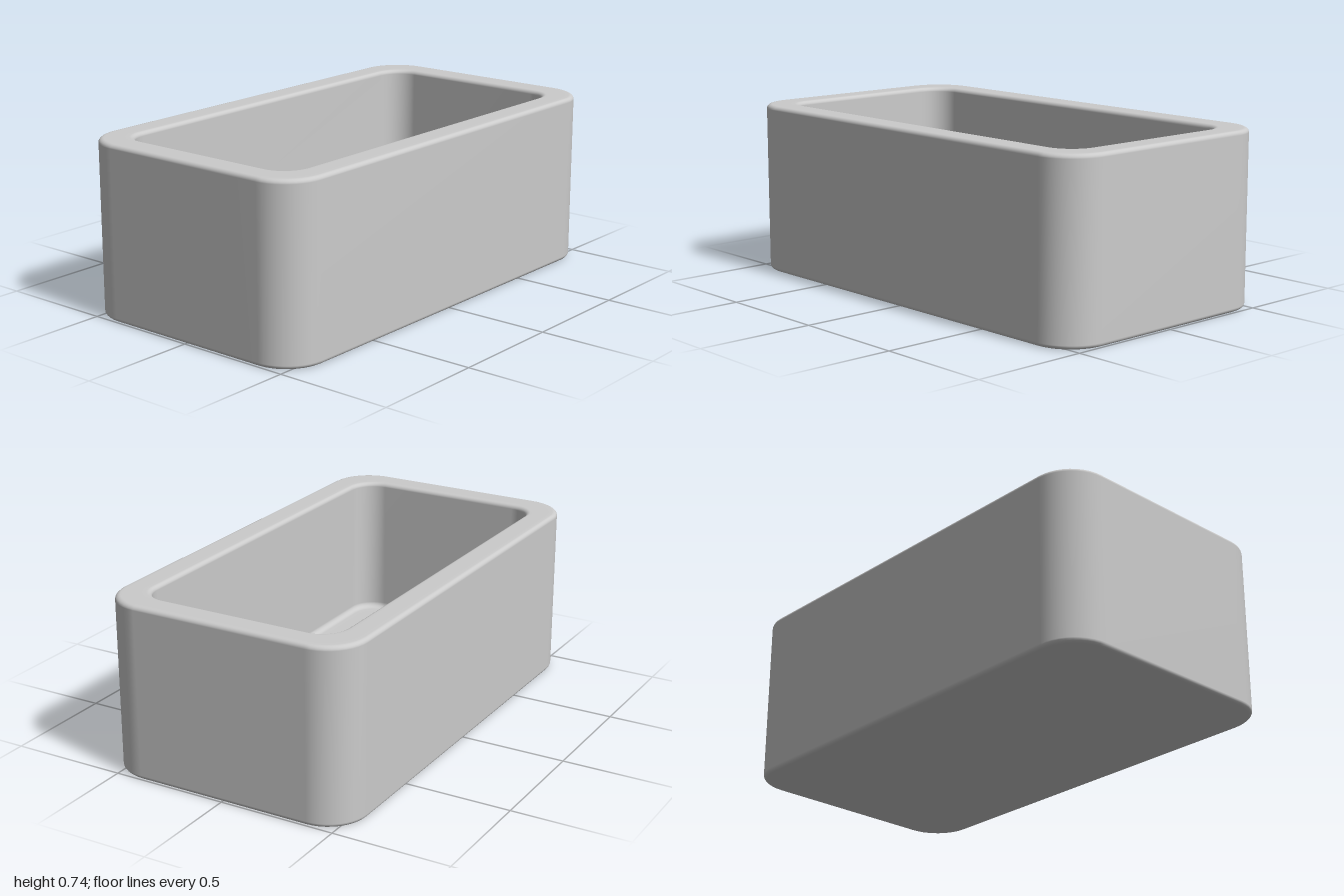
import * as THREE from 'three';

const HALF_X = 1, HALF_Z = 0.555, HEIGHT = 0.74, FLOOR = 0.12, WALL = 0.12;
const CORNER_STEPS = 10;

// Rounded rectangle at a given inset from the outer wall
function ring(inset, y) {
  const r = 0.17 - 0.5 * inset, points = [];
  const cx = HALF_X - inset - r, cz = HALF_Z - inset - r;
  [[1, 1], [-1, 1], [-1, -1], [1, -1]].forEach(([sx, sz], q) => {
    for (let i = 0; i <= CORNER_STEPS; i++) {
      const a = (q + i / CORNER_STEPS) * Math.PI / 2;
      points.push([sx * cx + r * Math.cos(a), y, sz * cz + r * Math.sin(a)]);
    }
  });
  return points;
}

// Quarter-round edge in the (inset, y) profile
function fillet(inset, y, radius, from, to, steps = 5) {
  return Array.from({ length: steps + 1 }, (_, i) => {
    const a = from + (to - from) * i / steps;
    return [inset + radius * Math.cos(a), y + radius * Math.sin(a)];
  });
}

// Skin the rings and close both ends with a fan
function loft(profile) {
  const rings = profile.map(([inset, y]) => ring(inset, y));
  const n = rings[0].length, last = rings.length - 1;
  const positions = rings.flat(), index = [];
  for (let k = 0; k < last; k++) {
    for (let i = 0; i < n; i++) {
      const a = k * n + i, b = k * n + (i + 1) % n;
      index.push(a, a + n, b, b, a + n, b + n);
    }
  }
  const bottom = positions.push([0, profile[0][1], 0]) - 1;
  const top = positions.push([0, profile[last][1], 0]) - 1;
  for (let i = 0; i < n; i++) {
    const j = (i + 1) % n;
    index.push(bottom, i, j, last * n + i, top, last * n + j);
  }
  const geometry = new THREE.BufferGeometry();
  geometry.setAttribute('position', new THREE.Float32BufferAttribute(positions.flat(), 3));
  geometry.setIndex(index);
  geometry.computeVertexNormals();
  return geometry;
}

export function createModel() {
  const group = new THREE.Group();
  group.name = 'tub';
  const material = new THREE.MeshStandardMaterial({ color: 0xcccccc });
  const PI = Math.PI, e = 0.018, f = 0.025;

  // Hollow body: underside, outer wall, rim, inner wall and floor
  const body = new THREE.Mesh(loft([
    [e + 0.02, 0],
    ...fillet(e, e, e, -PI / 2, -PI),
    ...fillet(e, HEIGHT - e, e, PI, PI / 2),
    [e + 0.015, HEIGHT],
    [WALL - e - 0.015, HEIGHT],
    ...fillet(WALL - e, HEIGHT - e, e, PI / 2, 0),
    ...fillet(WALL + f, FLOOR + f, f, PI, PI * 1.5),
    [WALL + f + 0.02, FLOOR],
  ]), material);
  body.name = 'body';
  group.add(body);

  // Square drain plate on the floor
  const drain = new THREE.Mesh(new THREE.BoxGeometry(0.145, 0.02, 0.145), material);
  drain.name = 'drainPlate';
  drain.position.set(0.713, FLOOR, 0);
  group.add(drain);

  return group;
}
